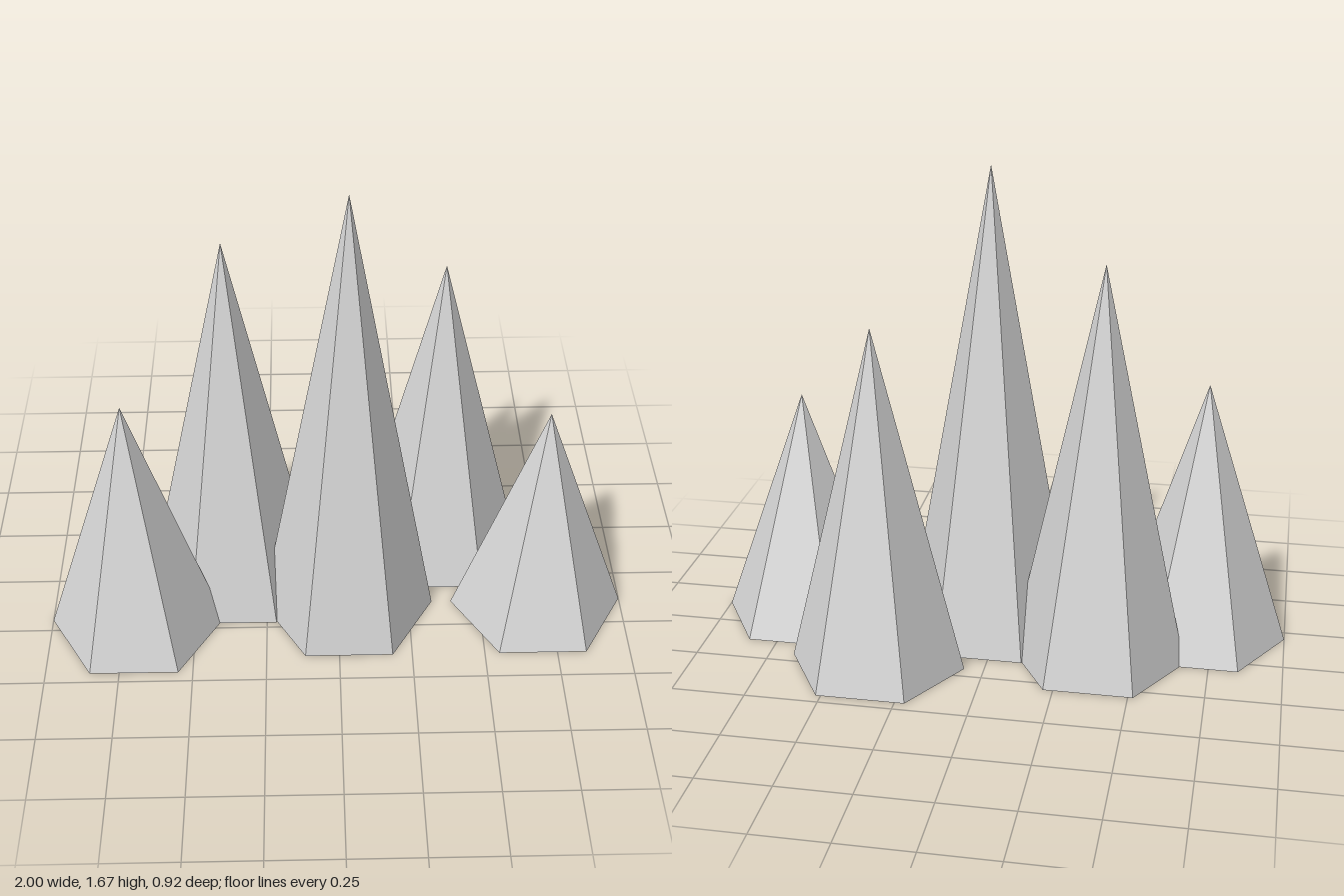
import * as THREE from 'three';

export function createModel() {
  const group = new THREE.Group();
  group.name = 'spikeCluster';

  const stone = new THREE.MeshStandardMaterial({ color: 0xd6d6d6, flatShading: true });
  stone.name = 'pale grey stone';

  // Six-sided spike standing on the ground, with base corners on the x axis
  const addSpike = (name, x, z, height) => {
    const geometry = new THREE.ConeGeometry(0.3, height, 6, 1, false, Math.PI / 6);
    const spike = new THREE.Mesh(geometry, stone);
    spike.name = name;
    spike.position.set(x, height / 2, z);
    group.add(spike);
  };

  // Overlapping row, from the model's right to its left
  addSpike('outerRightSpike', -0.7, 0.2, 0.933);
  addSpike('innerRightSpike', -0.367, -0.033, 1.4);
  addSpike('centreSpike', 0.033, 0.133, 1.667);
  addSpike('innerLeftSpike', 0.367, -0.2, 1.2);
  addSpike('outerLeftSpike', 0.7, 0.133, 0.833);

  return group;
}
